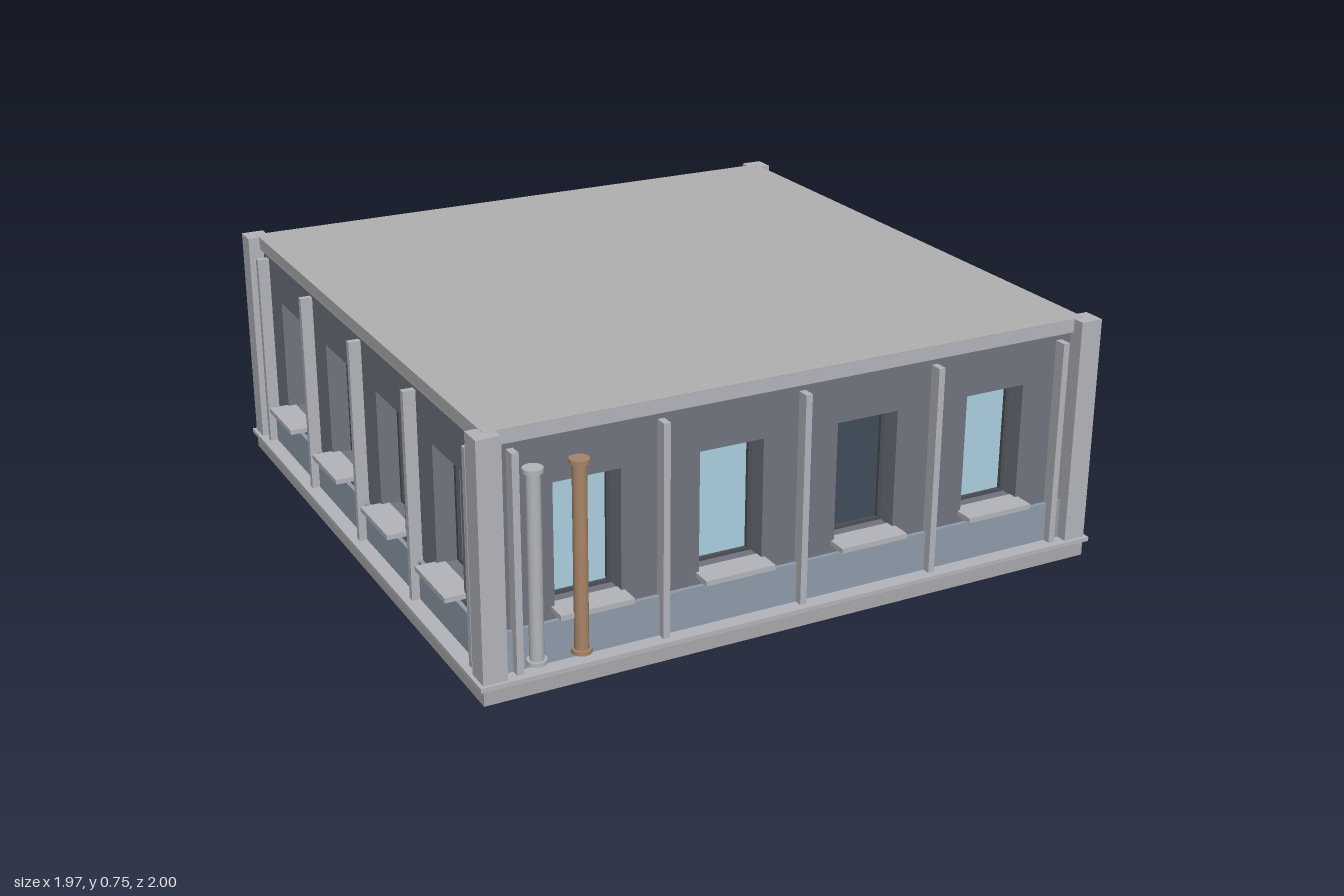
import * as THREE from 'three';

const paint = (color) => new THREE.MeshStandardMaterial({ color });
const M = {
  trim: paint(0xb2b5ba), roof: paint(0xb0b0b0), base: paint(0xa9a9ab),
  wall: paint(0x70747f), plinth: paint(0x8f9bab), frame: paint(0x4c5056),
  glass: paint(0xaccfdf), darkGlass: paint(0x3f4d5b), copper: paint(0xa98467),
  louver: paint(0x3c4044), strip: paint(0x7fdbe6),
};
const PITCH = 0.431;   // bay width
const WALL = 0.925;    // outer wall face
const GLASS = 0.85;    // recessed glass plane
const WIN = { w: 0.196, bottom: 0.215, top: 0.572 };

function add(parent, name, geometry, material, x = 0, y = 0, z = 0) {
  const mesh = new THREE.Mesh(geometry, material);
  mesh.name = name;
  mesh.position.set(x, y, z);
  parent.add(mesh);
  return mesh;
}

// Box given by its limits on each axis
function block(parent, name, material, [x0, x1], [y0, y1], [z0, z1]) {
  return add(parent, name, new THREE.BoxGeometry(x1 - x0, y1 - y0, z1 - z0), material,
    (x0 + x1) / 2, (y0 + y1) / 2, (z0 + z1) / 2);
}

function rect(Type, x0, x1, y0, y1) {
  const r = new Type();
  r.moveTo(x0, y0).lineTo(x1, y0).lineTo(x1, y1).lineTo(x0, y1).closePath();
  return r;
}

function extrude(shape, depth) {
  return new THREE.ExtrudeGeometry(shape, { depth, bevelEnabled: false });
}

const windowX = [-1.5, -0.5, 0.5, 1.5].map((i) => i * PITCH);

// One facade, facing +z
function createFacade(darkIndex) {
  const side = new THREE.Group();
  const { w, bottom, top } = WIN;

  // Wall with window openings
  const shape = rect(THREE.Shape, -WALL, WALL, 0.05, 0.72);
  for (const x of windowX) shape.holes.push(rect(THREE.Path, x - w / 2, x + w / 2, bottom, top));
  add(side, 'wall', extrude(shape, WALL - GLASS), M.wall, 0, 0, GLASS);

  block(side, 'plinthPanel', M.plinth, [-0.92, 0.92], [0.06, 0.18], [0.9, 0.938]);
  block(side, 'roofBand', M.trim, [-0.937, 0.937], [0.71, 0.749], [0.88, 0.937]);

  // Windows
  windowX.forEach((x, i) => {
    const win = new THREE.Group();
    win.name = 'window';
    win.position.x = x;
    side.add(win);
    block(win, 'glass', i === darkIndex ? M.darkGlass : M.glass,
      [-w / 2, w / 2], [bottom, top], [GLASS - 0.01, GLASS + 0.004]);
    const ring = rect(THREE.Shape, -w / 2, w / 2, bottom, top);
    ring.holes.push(rect(THREE.Path, -w / 2 + 0.013, w / 2 - 0.013, bottom + 0.01, top - 0.013));
    add(win, 'windowFrame', extrude(ring, 0.015), M.frame, 0, 0, GLASS);
    block(win, 'sill', M.trim, [-0.108, 0.108], [0.203, 0.218], [0.9, 0.986]);
  });

  // Slim columns between the bays
  for (const i of [-2, -1, 0, 1, 2]) {
    block(side, 'column', M.trim, [i * PITCH - 0.01, i * PITCH + 0.01], [0.055, 0.69], [0.91, 0.962]);
  }
  return side;
}

// Vertical pipe with end flanges
function createPipe(name, material, x) {
  const pipe = new THREE.Group();
  pipe.name = name;
  pipe.position.set(x, 0, 0.985);
  add(pipe, 'pipeShaft', new THREE.CylinderGeometry(0.02, 0.02, 0.55, 20), material, 0, 0.375, 0);
  for (const y of [0.105, 0.648]) {
    add(pipe, 'pipeFlange', new THREE.CylinderGeometry(0.028, 0.028, 0.012, 20), material, 0, y, 0);
  }
  return pipe;
}

export function createModel() {
  const model = new THREE.Group();
  model.name = 'building';
  const body = new THREE.Group();
  body.name = 'buildingBody';
  body.position.z = -0.013;
  model.add(body);

  // Base, ledge and roof
  block(body, 'base', M.base, [-0.972, 0.972], [0, 0.05], [-0.972, 0.972]);
  block(body, 'baseLedge', M.trim, [-0.984, 0.984], [0.048, 0.061], [-0.984, 0.984]);
  block(body, 'roof', M.roof, [-0.937, 0.937], [0.72, 0.751], [-0.937, 0.937]);

  // Corner pillars
  for (const sx of [-1, 1]) for (const sz of [-1, 1]) {
    add(body, 'cornerPillar', new THREE.BoxGeometry(0.07, 0.695, 0.07), M.trim, sx * 0.938, 0.4025, sz * 0.938);
  }

  // Facades: front, left, back, right, each with one dark window
  [['front', 2], ['left', 1], ['back', 3], ['right', 0]].forEach(([name, dark], i) => {
    const side = createFacade(dark);
    side.name = name + 'Facade';
    side.rotation.y = i * Math.PI / 2;
    body.add(side);
  });

  // Front pipes
  body.add(createPipe('greyPipe', M.trim, -0.825), createPipe('copperPipe', M.copper, -0.696));

  // Vent louvers and light strip on the left side
  for (let i = 0; i < 5; i++) {
    const y = 0.5 + i * 0.026;
    block(body, 'ventLouver', M.louver, [0.92, 0.958], [y - 0.005, y + 0.005], [-0.625, -0.495]);
  }
  block(body, 'lightStrip', M.strip, [0.93, 0.966], [0.06, 0.07], [-0.9, 0.9]);

  return model;
}
